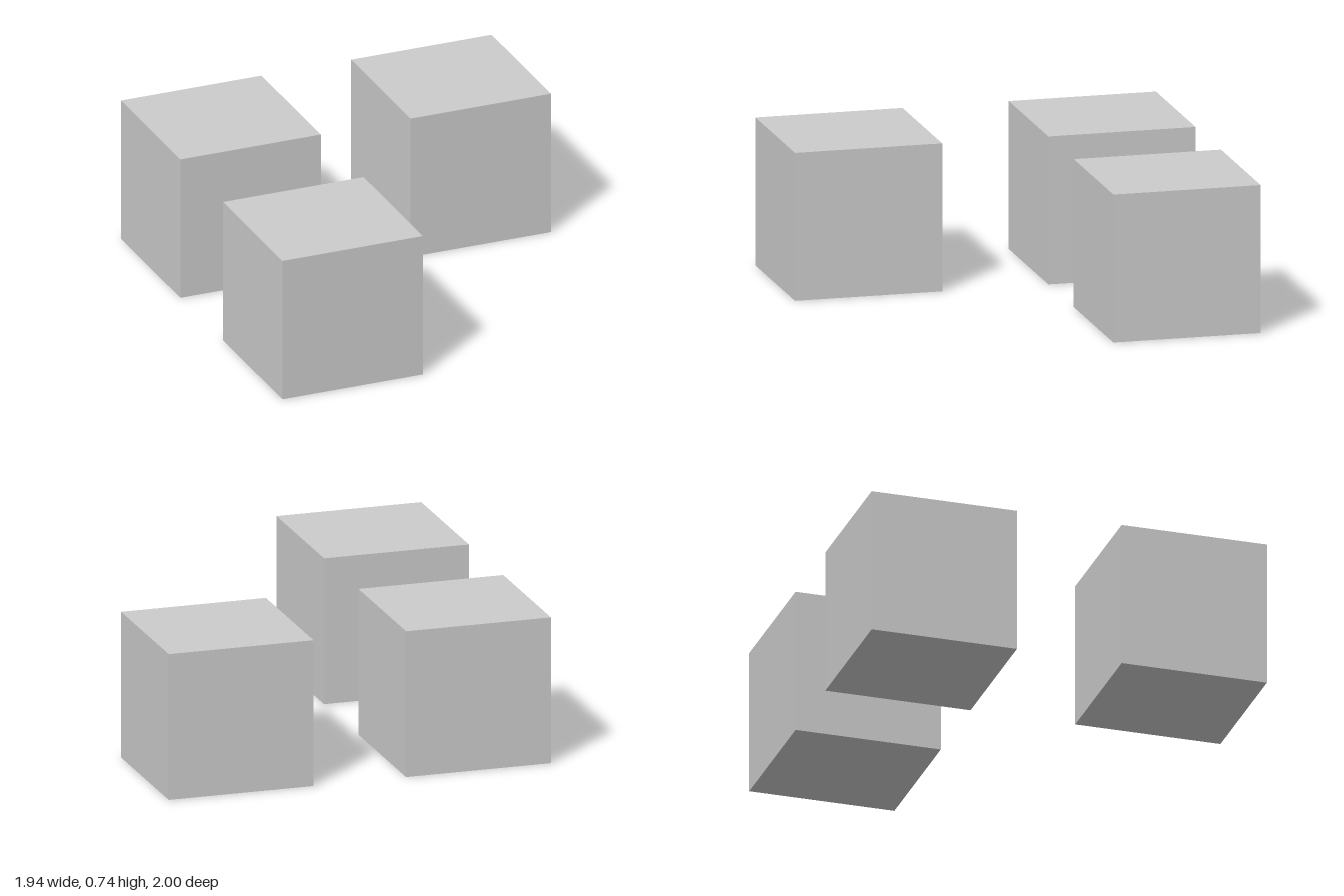
import * as THREE from 'three';

export function createModel() {
  const model = new THREE.Group();
  const material = new THREE.MeshStandardMaterial({ color: 0xcccccc, flatShading: true });
  const size = 0.735;
  const geometry = new THREE.BoxGeometry(size, size, size);

  // three equal cubes on the ground; the front left corner stays empty
  const cubes = [
    ['frontRightCube', -1, 1],
    ['backRightCube', -1, -1],
    ['backLeftCube', 1, -1],
  ];
  for (const [name, sx, sz] of cubes) {
    const cube = new THREE.Mesh(geometry, material);
    cube.name = name;
    cube.position.set(sx * 0.6025, size / 2, sz * 0.6325);
    model.add(cube);
  }
  return model;
}
